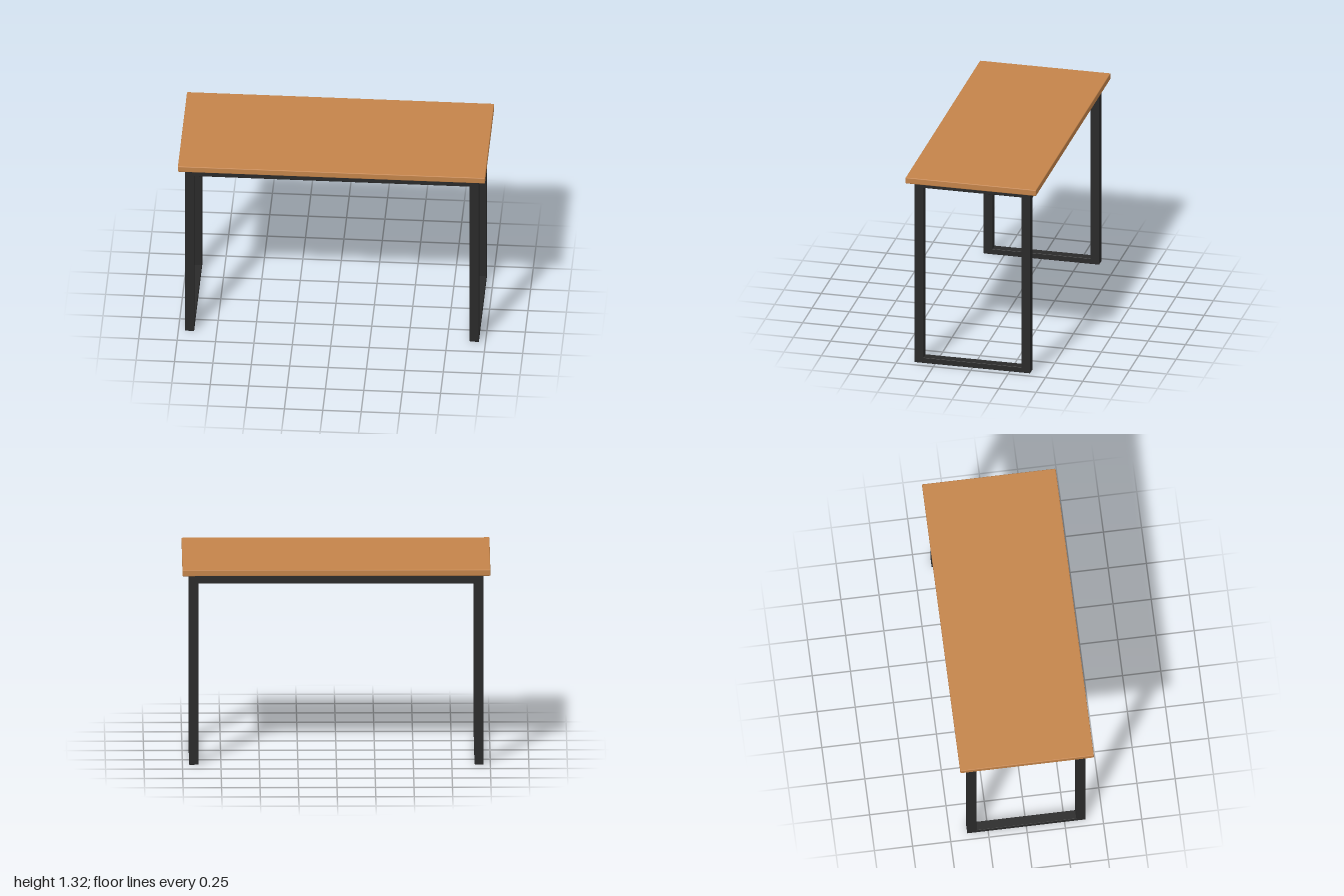
import * as THREE from 'three';
import { RoundedBoxGeometry } from 'three/addons/geometries/RoundedBoxGeometry.js';

const wood = new THREE.MeshStandardMaterial({ color: 0xc4844a });
wood.name = 'warm wood';
const steel = new THREE.MeshStandardMaterial({ color: 0x2a2a2a });
steel.name = 'black steel';

const UNDER = 1.274;           // underside of the tabletop
const TUBE = 0.06;             // wide side of the steel tube
const THIN = 0.038;            // narrow side of the steel tube
const LEG_X = 0.927, LEG_Z = 0.357;

// Softly rounded bar, placed by its centre
function bar(name, material, size, position, radius = 0.003) {
  const mesh = new THREE.Mesh(new RoundedBoxGeometry(...size, 2, radius), material);
  mesh.name = name;
  mesh.position.set(...position);
  return mesh;
}

export function createModel() {
  const desk = new THREE.Group();
  desk.name = 'desk';

  // Tabletop
  desk.add(bar('tabletop', wood, [2, 0.042, 0.874], [0, UNDER + 0.021, 0], 0.005));

  // Closed rectangular leg frame at each end
  for (const side of [1, -1]) {
    const frame = new THREE.Group();
    frame.name = side > 0 ? 'leftLegFrame' : 'rightLegFrame';
    frame.position.x = side * LEG_X;
    for (const end of [1, -1]) {
      frame.add(bar(end > 0 ? 'frontLeg' : 'backLeg', steel,
        [TUBE, UNDER, TUBE], [0, UNDER / 2, end * LEG_Z]));
    }
    const span = 2 * LEG_Z - TUBE + 0.01;
    frame.add(bar('footRail', steel, [TUBE, THIN, span], [0, THIN / 2, 0]));
    frame.add(bar('topRail', steel, [TUBE, THIN, span], [0, UNDER - THIN / 2, 0]));
    desk.add(frame);
  }

  // Long rails under the top, flush with the outer faces of the legs
  for (const end of [1, -1]) {
    desk.add(bar(end > 0 ? 'frontRail' : 'backRail', steel,
      [2 * LEG_X - TUBE + 0.01, TUBE + 0.002, THIN],
      [0, UNDER - TUBE / 2 - 0.001, end * (LEG_Z + (TUBE - THIN) / 2)]));
  }
  return desk;
}
